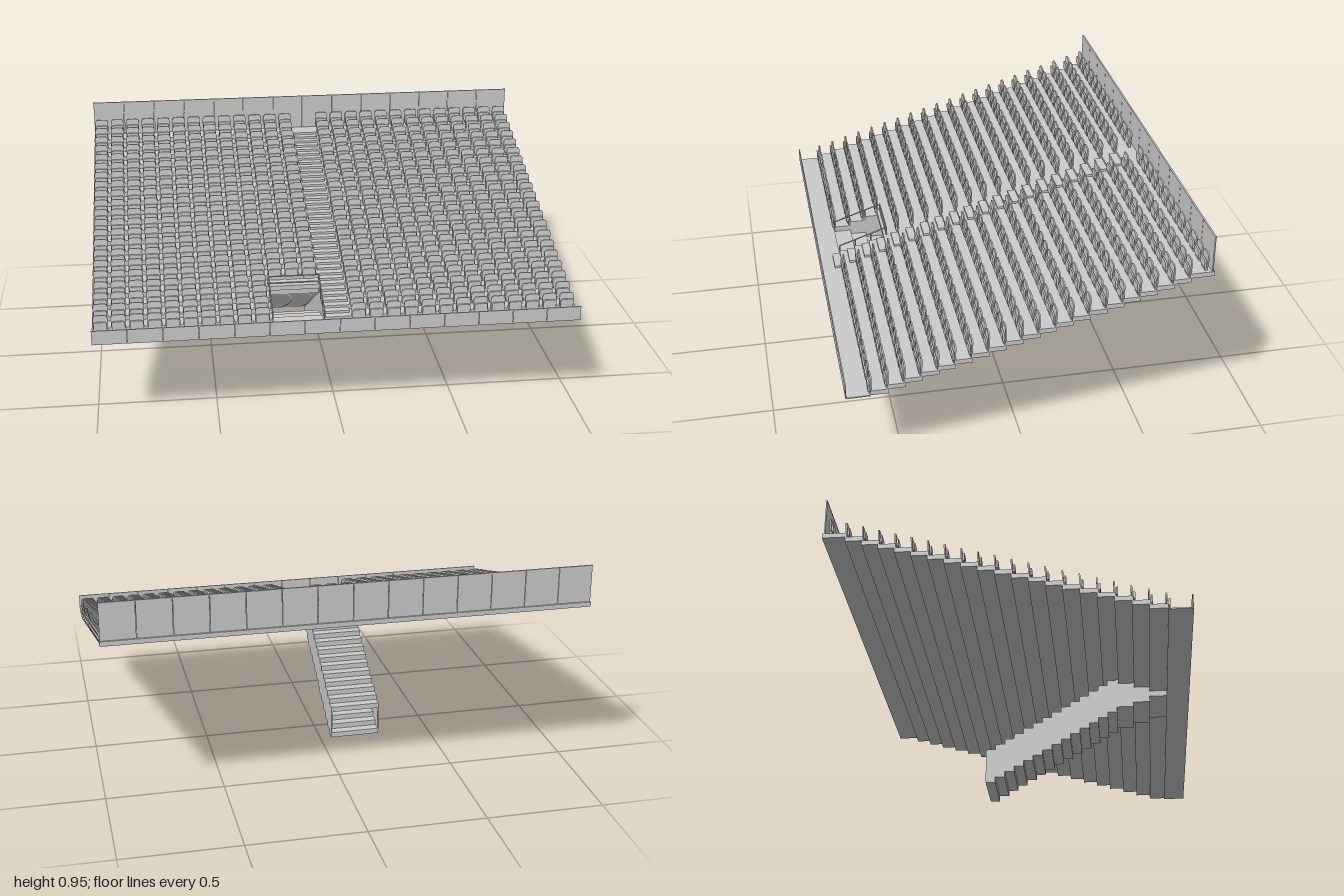
import * as THREE from 'three';
import { mergeGeometries } from 'three/addons/utils/BufferGeometryUtils.js';

const ROWS = 21, PITCH = 0.0665, RISE = 0.0199, FLOOR = 0.4;
const OPEN = { left: -0.27, right: -0.05, rows: 3 };   // stairwell cut into the lowest tiers
const mat = new THREE.MeshStandardMaterial({ color: 0xcccccc, flatShading: true, side: THREE.DoubleSide });

const rowFront = i => 0.70 - PITCH * i;
const rowTop = i => FLOOR + RISE * i;

// Box given by its min and max on each axis
function box(x0, x1, y0, y1, z0, z1) {
  return new THREE.BoxGeometry(x1 - x0, y1 - y0, z1 - z0)
    .translate((x0 + x1) / 2, (y0 + y1) / 2, (z0 + z1) / 2);
}

function addPart(group, name, geometries) {
  const mesh = new THREE.Mesh(mergeGeometries(geometries), mat);
  mesh.name = name;
  group.add(mesh);
}

// Upright plate with rounded upper corners
function roundedPlate(w, y0, y1, r, depth) {
  const s = new THREE.Shape();
  s.moveTo(-w / 2, y0);
  s.lineTo(w / 2, y0);
  s.lineTo(w / 2, y1 - r);
  s.quadraticCurveTo(w / 2, y1, w / 2 - r, y1);
  s.lineTo(-w / 2 + r, y1);
  s.quadraticCurveTo(-w / 2, y1, -w / 2, y1 - r);
  return new THREE.ExtrudeGeometry(s, { depth, bevelEnabled: false, curveSegments: 4 });
}

// Folding seat: back, tipped-up pan and foot
function seatGeometry() {
  const back = roundedPlate(0.06, 0.02, 0.076, 0.016, 0.006).rotateX(-0.06);
  const pan = roundedPlate(0.054, 0.014, 0.05, 0.01, 0.007).translate(0, 0, 0.006);
  const foot = box(-0.022, 0.022, 0, 0.022, -0.002, 0.008).toNonIndexed();
  return mergeGeometries([back, pan, foot]);
}

// Row of wall panels with narrow joints
function panels(y0, y1, z0, z1) {
  const w = 2 / 14, list = [];
  for (let i = 0; i < 14; i++) {
    list.push(box(-1 + i * w + 0.001, -1 + (i + 1) * w - 0.001, y0, y1, z0, z1));
  }
  return list;
}

// Straight round bar between two points
function bar(a, b, r = 0.003) {
  return new THREE.TubeGeometry(new THREE.LineCurve3(a, b), 1, r, 8);
}

export function createModel() {
  const stand = new THREE.Group();
  stand.name = 'seatingStand';

  // Tiers and the front walkway
  const tiers = [box(-1, 1, FLOOR - 0.005, FLOOR, rowFront(1), 0.73)];
  for (let i = 1; i < ROWS; i++) {
    const z1 = rowFront(i), y1 = rowTop(i), y0 = y1 - 0.02;
    const z0 = i === ROWS - 1 ? -0.73 : z1 - PITCH - 0.006;
    if (i <= OPEN.rows) {
      tiers.push(box(-1, OPEN.left, y0, y1, z0, z1), box(OPEN.right, 1, y0, y1, z0, z1));
    } else {
      tiers.push(box(-1, 1, y0, y1, z0, z1));
    }
  }
  addPart(stand, 'tiers', tiers);

  // Half-height steps in the aisle
  const steps = [];
  for (let i = 0; i < ROWS - 1; i++) {
    const z = rowFront(i + 1);
    steps.push(box(-0.05, 0.055, rowTop(i), rowTop(i) + RISE / 2, z, z + PITCH / 2));
  }
  addPart(stand, 'aisleSteps', steps);

  // Seats, thirteen each side of the aisle, leaving out the stairwell
  const seat = seatGeometry();
  for (let i = 0; i < ROWS; i++) {
    const row = [];
    for (let j = 0; j < 13; j++) {
      for (const side of [-1, 1]) {
        const x = side * (0.089 + j * 0.073);
        const overStairs = i <= OPEN.rows && x > OPEN.left && x < OPEN.right;
        if (!overStairs) row.push(seat.clone().translate(x, rowTop(i), 0.629 - PITCH * i));
      }
    }
    addPart(stand, 'seatRow', row);
  }

  // Front parapet and back wall
  const top = rowTop(ROWS - 1);
  addPart(stand, 'frontParapet', panels(FLOOR - 0.005, 0.452, 0.726, 0.73));
  addPart(stand, 'frontParapetCap', [box(-1, 1, 0.452, 0.456, 0.725, 0.73)]);
  addPart(stand, 'backWall', panels(top, 0.952, -0.723, -0.718));
  addPart(stand, 'backWallCap', [box(-1, 1, 0.951, 0.955, -0.724, -0.717)]);

  // Entrance tunnel: landing, descending floor and stepped roof
  const n = 14, dz = 0.04, dy = 0.33 / n, zStart = 0.42;
  const { left, right } = OPEN;
  const floor = [
    box(left, right, 0.375, 0.396, 0.56, 0.634),
    box(left, right, 0.35, 0.376, 0.49, 0.56),
    box(left, right, 0.33, 0.352, zStart, 0.49),
  ];
  const roof = [];
  const lower = [[0.634, 0.375], [0.56, 0.375], [0.56, 0.35], [0.49, 0.35], [0.49, 0.33], [zStart, 0.33]];
  const upper = [];
  for (let k = 1; k <= n; k++) {
    const z1 = zStart - dz * (k - 1), z0 = z1 - dz;
    const yf = 0.33 - dy * k, yr = yf + 0.15;
    floor.push(box(left, right, yf, yf + dy, z0, z1));
    roof.push(box(left, right, yr - dy, yr, z0, z1));
    lower.push([z1, yf], [z0, yf]);
    upper.unshift([z0, yr], [z1, yr]);
  }
  addPart(stand, 'tunnelStairs', floor);
  addPart(stand, 'tunnelRoof', roof);

  // Tunnel side walls follow the stairs below and the roof and tiers above
  for (let i = OPEN.rows; i >= 1; i--) {
    upper.push([i === OPEN.rows ? zStart : rowFront(i + 1), rowTop(i)], [rowFront(i), rowTop(i)]);
  }
  const outline = new THREE.Shape([...lower, ...upper].map(p => new THREE.Vector2(...p)));
  for (const x of [left + 0.004, right]) {
    const wall = new THREE.ExtrudeGeometry(outline, { depth: 0.004, bevelEnabled: false });
    addPart(stand, 'tunnelSideWall', [wall.rotateY(-Math.PI / 2).translate(x, 0, 0)]);
  }

  // Guard rail around the stairwell
  const V = (x, y, z) => new THREE.Vector3(x, y, z);
  const xl = left + 0.004, xr = right - 0.003;
  const rail = [bar(V(xl, 0.518, zStart), V(xr, 0.518, zStart)), bar(V(xl, 0.488, zStart), V(xr, 0.488, zStart))];
  for (const x of [xl, xr]) {
    rail.push(bar(V(x, 0.447, 0.632), V(x, 0.518, zStart)));
    for (const t of [0, 0.333, 0.667, 1]) {
      const z = 0.632 + (zStart - 0.632) * t;
      rail.push(bar(V(x, FLOOR + 0.06 * t, z), V(x, 0.447 + 0.071 * t, z)));
    }
  }
  addPart(stand, 'guardRail', rail);

  return stand;
}
